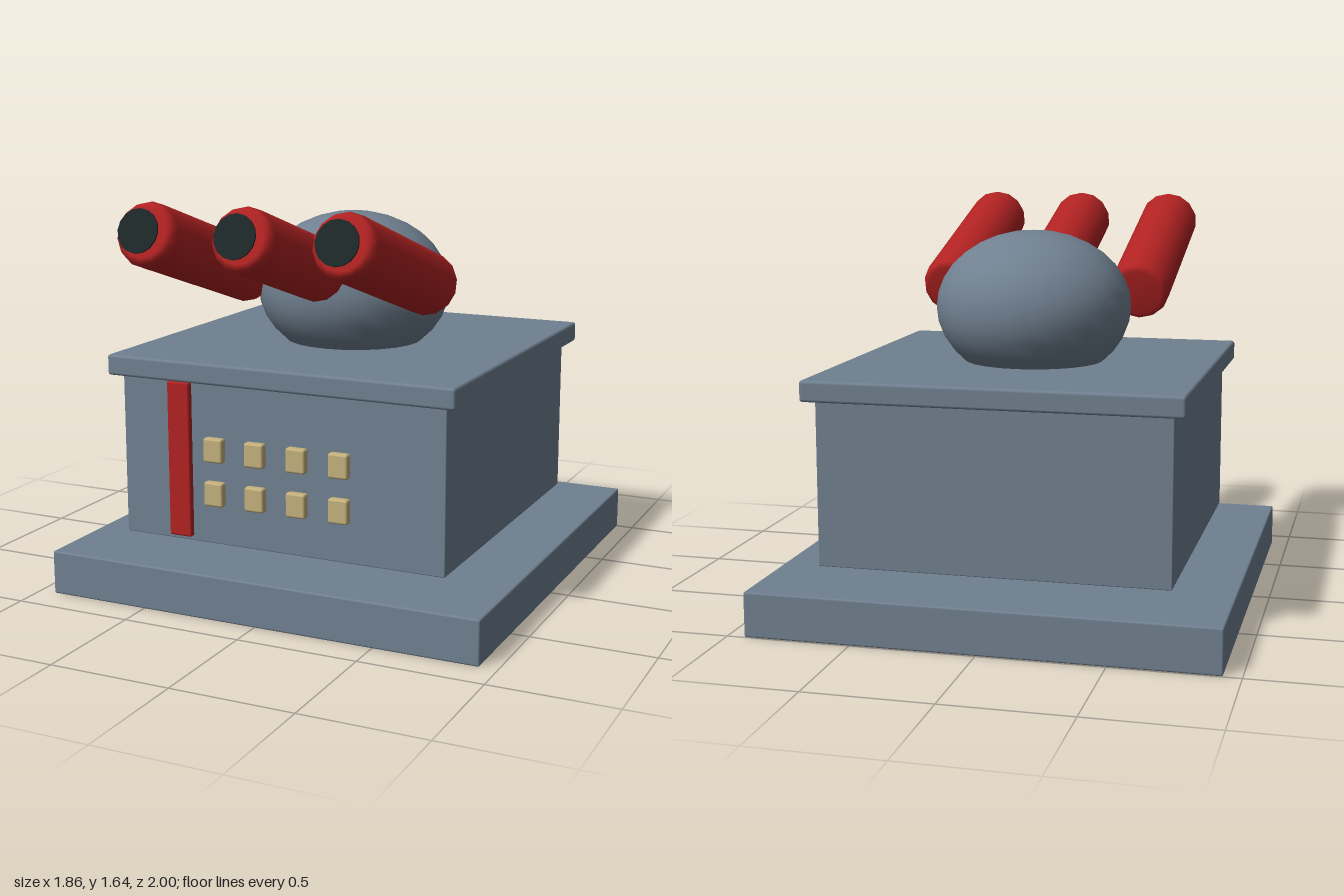
import * as THREE from 'three';
import { RoundedBoxGeometry } from 'three/addons/geometries/RoundedBoxGeometry.js';

const material = (name, color) => {
  const m = new THREE.MeshStandardMaterial({ color });
  m.name = name;
  return m;
};

export function createModel() {
  const slate = material('slate grey', 0x708090);
  const red = material('brick red', 0xb22222);
  const tan = material('window tan', 0xc4b07c);
  const dark = material('muzzle dark', 0x1e2828);

  const model = new THREE.Group();
  model.name = 'gunTower';

  const add = (parent, name, geometry, mat, x = 0, y = 0, z = 0) => {
    const mesh = new THREE.Mesh(geometry, mat);
    mesh.name = name;
    mesh.position.set(x, y, z);
    parent.add(mesh);
    return mesh;
  };

  // Softly bevelled block given by its lower and upper bounds
  const block = (name, mat, [x0, x1], [y0, y1], [z0, z1], bevel = 0.008) =>
    add(model, name, new RoundedBoxGeometry(x1 - x0, y1 - y0, z1 - z0, 2, bevel), mat,
      (x0 + x1) / 2, (y0 + y1) / 2, (z0 + z1) / 2);

  // Stacked building
  block('base', slate, [-0.93, 0.93], [0, 0.182], [-1, 0.865]);
  block('body', slate, [-0.705, 0.705], [0.237, 0.902], [-0.77, 0.643], 0.004);
  block('roofSlab', slate, [-0.753, 0.753], [0.902, 0.987], [-0.818, 0.688], 0.012);

  // Front stripe and windows
  block('stripe', red, [-0.477, -0.378], [0.263, 0.902], [0.656, 0.687], 0.008);
  for (const y of [0.453, 0.634]) {
    for (let i = 0; i < 4; i++) {
      const x = -0.276 + i * 0.183;
      block('window', tan, [x - 0.042, x + 0.042], [y - 0.05, y + 0.05], [0.645, 0.684], 0.01);
    }
  }

  // Flattened dome
  const dome = add(model, 'dome', new THREE.SphereGeometry(1, 24, 16), slate, 0, 1.21, -0.067);
  dome.scale.set(0.407, 0.318, 0.392);

  // Three tilted barrels with chamfered ends and a dark disc ahead of each
  const radius = 0.128, half = 0.445;
  const rings = [[0, -half], [0.098, -half], [0.118, -half + 0.012], [radius, -half + 0.04]];
  const profile = [...rings, ...rings.slice().reverse().map(([r, h]) => [r, -h])]
    .map(([r, h]) => new THREE.Vector2(r, h));
  const barrelGeometry = new THREE.LatheGeometry(profile, 14);
  const muzzleGeometry = new THREE.CylinderGeometry(0.086, 0.086, 0.008, 16);
  for (const x of [-0.41, 0, 0.41]) {
    const gun = new THREE.Group();
    gun.name = 'gun';
    gun.position.set(x, 1.393, 0.511);
    gun.rotation.x = Math.PI / 2 - 0.305;
    add(gun, 'barrel', barrelGeometry, red);
    add(gun, 'muzzle', muzzleGeometry, dark, 0, half + 0.036, 0);
    model.add(gun);
  }

  return model;
}
